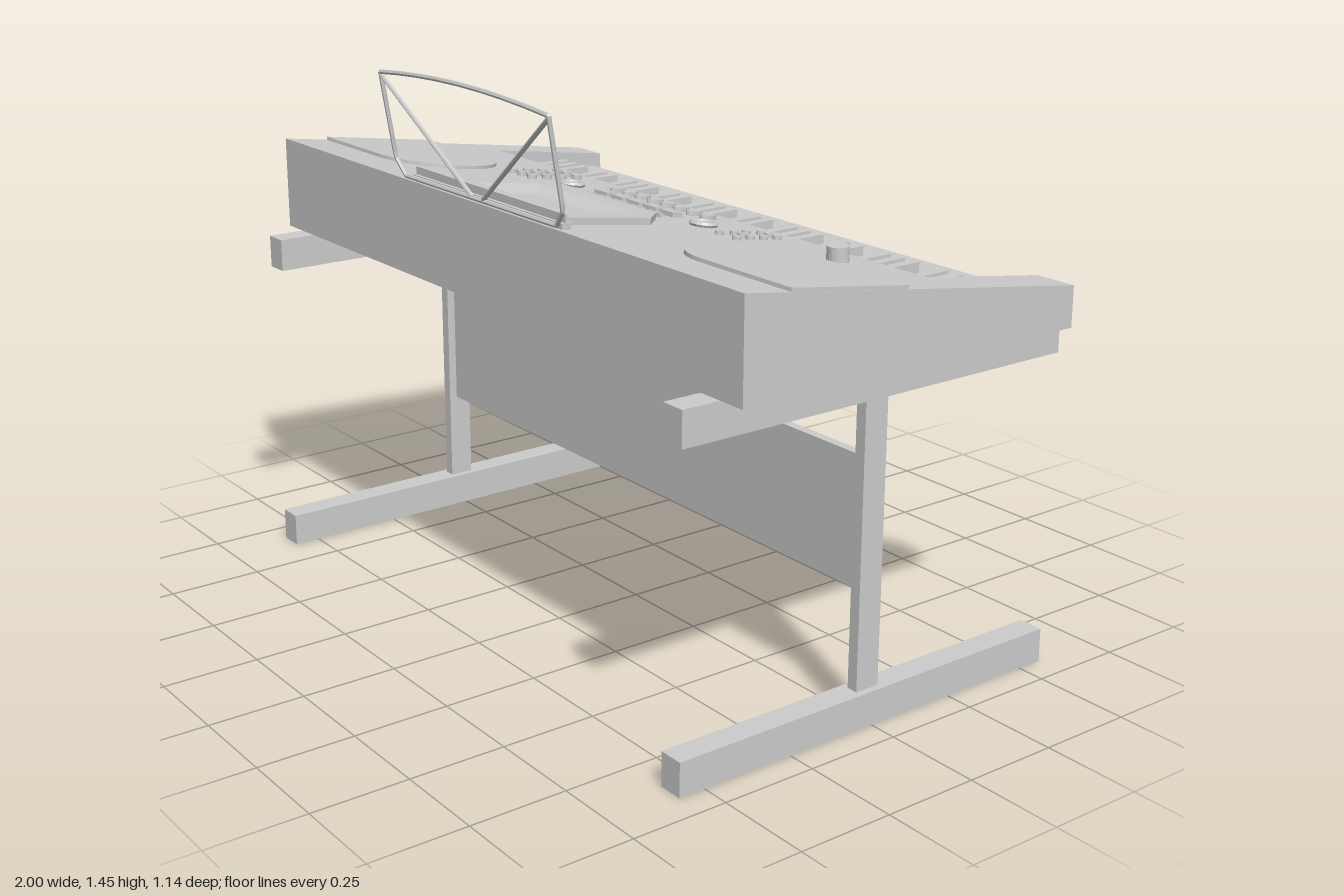
import * as THREE from 'three';

const mat = new THREE.MeshStandardMaterial({ color: 0xcccccc, flatShading: true });
const thin = new THREE.MeshStandardMaterial({ color: 0xcccccc, flatShading: true, side: THREE.DoubleSide });
const SLOPE = 0.1465;
const topY = (z) => 1.0 + SLOPE * (z + 0.525);

function add(parent, name, geo, material = mat) {
  const mesh = new THREE.Mesh(geo, material);
  mesh.name = name;
  parent.add(mesh);
  return mesh;
}

// Box given by its extents on each axis
function box(parent, name, x0, x1, y0, y1, z0, z1) {
  const g = new THREE.BoxGeometry(x1 - x0, y1 - y0, z1 - z0);
  g.translate((x0 + x1) / 2, (y0 + y1) / 2, (z0 + z1) / 2);
  return add(parent, name, g);
}

// Side profile of [z, y] points extruded from x0 to x1
function profileX(parent, name, pts, x0, x1) {
  const shape = new THREE.Shape(pts.map(([z, y]) => new THREE.Vector2(z, y)));
  const g = new THREE.ExtrudeGeometry(shape, { depth: x1 - x0, bevelEnabled: false });
  g.rotateY(-Math.PI / 2).translate(x1, 0, 0);
  return add(parent, name, g);
}

// Flat plate: shape drawn in (x, -z), raised by height
function plate(parent, name, shape, height) {
  const g = new THREE.ExtrudeGeometry(shape, { depth: height, bevelEnabled: false, curveSegments: 8 });
  g.rotateX(-Math.PI / 2);
  return add(parent, name, g);
}

function button(parent, name, x, z, r, h, sides = 10, stretch = 1) {
  const g = new THREE.CylinderGeometry(r, r, h, sides);
  g.scale(1, 1, stretch).translate(x, h / 2, z);
  return add(parent, name, g);
}

function createStand() {
  const stand = new THREE.Group();
  stand.name = 'stand';
  for (const s of [-1, 1]) {
    const x = s * 0.893;
    box(stand, 'foot', x - 0.033, x + 0.033, 0, 0.087, -0.57, 0.57);
    box(stand, 'post', x - 0.015, x + 0.015, 0.087, 0.81, -0.032, 0.035);
    box(stand, 'supportArm', x - 0.033, x + 0.033, 0.81, 0.897, -0.57, 0.57);
  }
  box(stand, 'backPanel', -0.88, 0.88, 0.33, 0.66, -0.012, 0.012);
  box(stand, 'crossRail', -0.87, 0.87, 0.838, 0.898, -0.05, 0.03);
  return stand;
}

function createBody() {
  const body = new THREE.Group();
  body.name = 'keyboardBody';
  const [f, k, b] = [-0.525, -0.16, 0.47];
  profileX(body, 'mainCase', [[k, 0.897], [b, 0.897], [b, topY(b)], [k, topY(k)]], -0.887, 0.887);
  for (const [x0, x1] of [[-1, -0.887], [0.887, 1]]) {
    profileX(body, 'endCheek', [[f, 0.897], [b, 0.897], [b, topY(b)], [f, topY(f)]], x0, x1);
  }
  box(body, 'keyTray', -0.887, 0.887, 0.897, 0.945, f, k);
  return body;
}

function createKeys() {
  const keys = new THREE.Group();
  keys.name = 'keys';
  const n = 36, w = 1.774 / n;
  for (let i = 0; i < n; i++) {
    const x = -0.887 + i * w;
    box(keys, 'whiteKey', x + 0.001, x + w - 0.001, 0.94, 0.966, -0.497, -0.161);
    // Black keys alternate in groups of three and two
    if ([1, 2, 3, 5, 6].includes(i % 7)) {
      box(keys, 'blackKey', x - 0.013, x + 0.013, 0.96, 1.008, -0.365, -0.161);
    }
  }
  return keys;
}

// Display frame with a recess that narrows to its floor
function createDisplay(deck) {
  const s = new THREE.Shape();
  [[-0.27, -0.415], [0.27, -0.415], [0.27, -0.16], [0.2, -0.09], [-0.2, -0.09], [-0.27, -0.16]]
    .forEach(([x, y], i) => (i ? s.lineTo(x, y) : s.moveTo(x, y)));
  s.closePath();
  const rim = [[-0.2, 0.165], [0.2, 0.165], [0.2, 0.35], [-0.2, 0.35]];
  s.holes.push(new THREE.Path(rim.map(([x, z]) => new THREE.Vector2(x, -z))));
  plate(deck, 'displayFrame', s, 0.018);

  const floor = [[-0.13, 0.215], [0.13, 0.215], [0.13, 0.3], [-0.13, 0.3]];
  const pos = [...rim.map(([x, z]) => [x, 0.018, z]), ...floor.map(([x, z]) => [x, 0.003, z])].flat();
  const idx = [4, 7, 6, 4, 6, 5];
  for (let i = 0; i < 4; i++) {
    const j = (i + 1) % 4;
    idx.push(i, i + 4, j, j, i + 4, j + 4);
  }
  const g = new THREE.BufferGeometry();
  g.setAttribute('position', new THREE.Float32BufferAttribute(pos, 3));
  g.setIndex(idx);
  g.computeVertexNormals();
  add(deck, 'displayRecess', g, thin);
}

// Everything that lies on the sloping top
function createDeck() {
  const deck = new THREE.Group();
  deck.name = 'controlDeck';
  deck.position.y = topY(0);
  deck.rotation.x = -Math.atan(SLOPE);
  createDisplay(deck);

  // Speaker covers, rounded on the inner end
  for (const side of [-1, 1]) {
    const s = new THREE.Shape();
    s.moveTo(side * 0.998, -0.005);
    s.lineTo(side * 0.695, -0.005);
    s.absellipse(side * 0.695, -0.176, 0.17, 0.171, Math.PI / 2, -Math.PI / 2, side > 0 ? false : true, 0);
    s.lineTo(side * 0.998, -0.347);
    plate(deck, 'speakerCover', s, 0.009);
  }

  for (let i = 0; i < 8; i++) button(deck, 'ovalButton', -0.19 + i * 0.0543, -0.083, 0.013, 0.012, 12, 1.9);
  for (let i = -2; i <= 2; i++) {
    box(deck, 'wideButton', i * 0.07 - 0.027, i * 0.07 + 0.027, 0, 0.012, -0.02, 0.012);
    box(deck, 'slimButton', i * 0.07 - 0.027, i * 0.07 + 0.027, 0, 0.01, 0.042, 0.053);
  }

  // Round selector dials with a raised centre
  for (const x of [-0.285, 0.275]) {
    const ring = new THREE.TorusGeometry(0.03, 0.007, 6, 16);
    ring.rotateX(Math.PI / 2).translate(x, 0.006, 0);
    add(deck, 'dialRing', ring);
    button(deck, 'dialCentre', x, 0, 0.018, 0.01, 12);
  }

  // Number pad, and the looser cluster on the other side
  for (let r = 0; r < 4; r++) {
    const z = -0.09 + r * 0.049;
    for (let c = 0; c < 3; c++) button(deck, 'padButton', -0.485 + c * 0.047, z, 0.013, 0.012);
    const zs = -0.087 + r * 0.042;
    for (const x of r % 2 ? [0.385, 0.45] : [0.39, 0.42, 0.45]) button(deck, 'effectButton', x, zs, 0.011, 0.01);
  }
  return deck;
}

function createMusicRest() {
  const rest = new THREE.Group();
  rest.name = 'musicRest';
  box(rest, 'restLedge', -0.33, 0.33, 1.135, 1.158, 0.43, 0.455);
  box(rest, 'ledgeLip', -0.33, 0.33, 1.15, 1.178, 0.44, 0.446);

  // Wire frame leaning outwards
  const lean = (x, y) => new THREE.Vector3(x, y, 0.472 + (y - 1.15) * 0.165);
  function wire(name, pts) {
    const path = new THREE.CurvePath();
    for (let i = 1; i < pts.length; i++) path.add(new THREE.LineCurve3(lean(...pts[i - 1]), lean(...pts[i])));
    add(rest, name, new THREE.TubeGeometry(path, (pts.length - 1) * 8, 0.006, 6));
  }
  const arc = [];
  for (let i = 0; i <= 8; i++) {
    const t = i / 4 - 1;
    arc.push([t * 0.371, 1.44 - 0.02 * t * t]);
  }
  wire('topRail', arc);
  wire('bottomRail', [[-0.335, 1.157], [0.335, 1.157]]);
  for (const s of [-1, 1]) {
    wire('sideRail', [[s * 0.371, 1.42], [s * 0.371, 1.2], [s * 0.335, 1.157]]);
    wire('diagonalBrace', [[s * 0.371, 1.415], [s * 0.025, 1.16]]);
  }
  return rest;
}

export function createModel() {
  const model = new THREE.Group();
  model.name = 'electronicKeyboardOnStand';
  model.add(createStand(), createBody(), createKeys(), createDeck(), createMusicRest());

  // Upright volume knob
  const knob = new THREE.CylinderGeometry(0.027, 0.027, 0.05, 20);
  knob.translate(0.7, 1.08, -0.057);
  add(model, 'volumeKnob', knob);
  return model;
}
